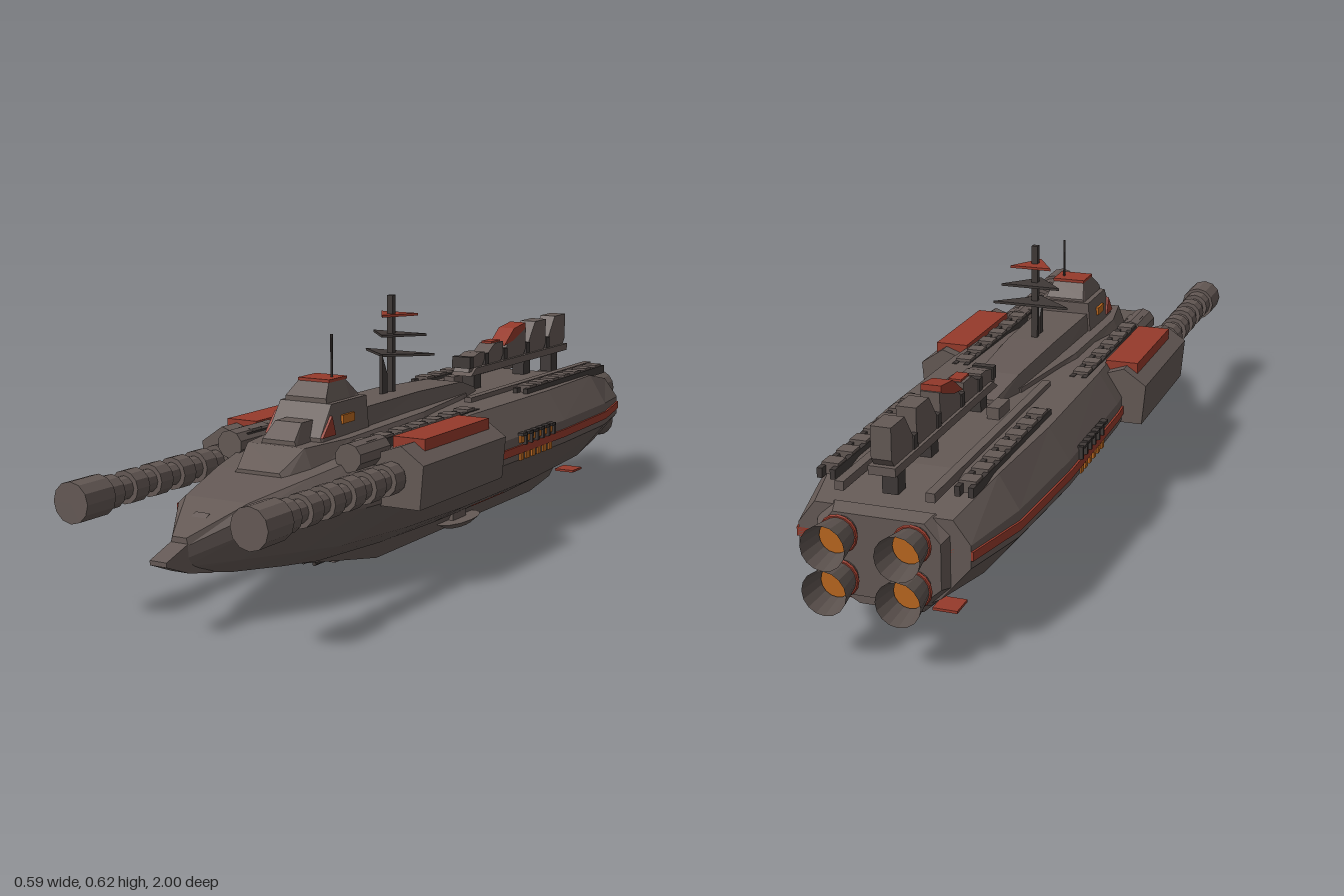
import * as THREE from 'three';

const mat = (name, color, side = THREE.FrontSide) => {
  const m = new THREE.MeshStandardMaterial({ color, side, flatShading: true });
  m.name = name;
  return m;
};

export function createModel() {
  const plate = mat('grey brown plating', 0x645955);
  const dark = mat('dark metal', 0x3f3937);
  const red = mat('red trim', 0x963a2b);
  const orange = mat('orange glow', 0xb8661f);
  const bellMat = mat('engine plating', 0x5c524e, THREE.DoubleSide);
  const ship = new THREE.Group();
  ship.name = 'spaceship';

  const add = (name, geo, m, x = 0, y = 0, z = 0) => {
    const mesh = new THREE.Mesh(geo, m);
    mesh.name = name;
    mesh.position.set(x, y, z);
    ship.add(mesh);
    return mesh;
  };
  // Box given by its centre and size
  const box = (name, m, x, y, z, w, h, d) => add(name, new THREE.BoxGeometry(w, h, d), m, x, y, z);
  // Skin over mirrored cross-sections, front to back; each is { z, half: [x, y] from bottom to top }
  const loft = (name, m, sections) => {
    const loops = sections.map(({ z, half }) => [
      ...half.map(([x, y]) => [x, y, z]),
      ...[...half].reverse().map(([x, y]) => [-x, y, z])]);
    const v = [], n = loops[0].length;
    const tri = (a, b, c) => v.push(...a, ...b, ...c);
    for (let i = 0; i < loops.length - 1; i++) {
      for (let j = 0; j < n; j++) {
        const k = (j + 1) % n, f = loops[i], b = loops[i + 1];
        tri(f[j], b[j], b[k]);
        tri(f[j], b[k], f[k]);
      }
    }
    const f = loops[0], b = loops[loops.length - 1];
    for (let j = 1; j < n - 1; j++) {
      tri(f[0], f[j], f[j + 1]);
      tri(b[0], b[j + 1], b[j]);
    }
    const g = new THREE.BufferGeometry();
    g.setAttribute('position', new THREE.Float32BufferAttribute(v, 3));
    g.computeVertexNormals();
    return add(name, g, m);
  };
  // Side profile of [z, y] points with a thickness across x
  const slab = (name, m, pts, width, x = 0) => {
    const g = new THREE.ExtrudeGeometry(new THREE.Shape(pts.map(p => new THREE.Vector2(...p))),
      { depth: width, bevelEnabled: false });
    g.translate(0, 0, -width / 2).rotateY(-Math.PI / 2);
    return add(name, g, m, x);
  };
  // Cylinder along z
  const rod = (name, m, x, y, z, r, len, sides = 12, rBack = r) =>
    add(name, new THREE.CylinderGeometry(r, rBack, len, sides).rotateX(Math.PI / 2), m, x, y, z);

  // Hull stations: z, half width, top, shoulder, waist, bottom
  const stations = [
    [0.93, 0.022, 0.205, 0.19, 0.165, 0.135], [0.8, 0.1, 0.258, 0.24, 0.205, 0.105],
    [0.63, 0.152, 0.285, 0.25, 0.205, 0.08], [0.5, 0.183, 0.302, 0.255, 0.2, 0.063],
    [0.25, 0.222, 0.33, 0.26, 0.2, 0.052], [0, 0.24, 0.335, 0.26, 0.2, 0.048],
    [-0.4, 0.244, 0.335, 0.26, 0.2, 0.048], [-0.7, 0.23, 0.335, 0.26, 0.2, 0.06],
    [-0.88, 0.19, 0.3, 0.25, 0.2, 0.085]];
  loft('hull', plate, stations.map(([z, w, t, s, m, b]) => ({
    z, half: [[w * 0.3, b], [w * 0.65, b + (m - b) * 0.32], [w, m], [w, s], [w * 0.8, t]] })));
  loft('side stripe', red, stations.slice(1).map(([z, w]) => ({
    z, half: [[w + 0.005, 0.217], [w + 0.005, 0.237]] })));
  loft('nose beak', plate, [
    { z: 1, half: [[0.021, 0.16], [0.021, 0.17]] },
    { z: 0.93, half: [[0.022, 0.132], [0.022, 0.193]] },
    { z: 0.85, half: [[0.024, 0.115], [0.018, 0.24]] }]);
  loft('stern plate', plate, [
    { z: -0.87, half: [[0.1, 0.1], [0.15, 0.15], [0.15, 0.27], [0.11, 0.305]] },
    { z: -0.905, half: [[0.09, 0.115], [0.135, 0.155], [0.135, 0.255], [0.1, 0.295]] }]);

  // Engines
  const bell = [[0.032, 0], [0.036, 0.025], [0.041, 0.055], [0.049, 0.108]].map(p => new THREE.Vector2(...p));
  for (const x of [-0.08, 0.08]) for (const y of [0.157, 0.255]) {
    add('engine bell', new THREE.LatheGeometry(bell, 16).rotateX(-Math.PI / 2), bellMat, x, y, -0.892);
    add('engine ring', new THREE.TorusGeometry(0.038, 0.005, 6, 16), red, x, y, -0.922);
    rod('engine glow', orange, x, y, -0.935, 0.035, 0.008, 16);
  }

  // Superstructure
  const tier = (name, rows) => loft(name, plate, rows.map(([z, wb, yb, wt, yt]) => ({
    z, half: [[wb, yb], [wt, yt]] })));
  tier('lower deck house', [[0.65, 0.07, 0.27, 0.055, 0.29], [0.58, 0.1, 0.27, 0.075, 0.335],
    [0.44, 0.128, 0.28, 0.1, 0.337], [0.1, 0.12, 0.3, 0.1, 0.345], [-0.2, 0.07, 0.3, 0.058, 0.345]]);
  tier('upper deck house', [[0.34, 0.07, 0.33, 0.065, 0.385], [0.05, 0.07, 0.33, 0.06, 0.385],
    [-0.19, 0.06, 0.33, 0.05, 0.375], [-0.3, 0.035, 0.33, 0.03, 0.345]]);
  tier('bridge front', [[0.57, 0.047, 0.33, 0.042, 0.345], [0.53, 0.047, 0.33, 0.035, 0.38],
    [0.46, 0.047, 0.33, 0.035, 0.38]]);
  tier('bridge block', [[0.51, 0.075, 0.33, 0.07, 0.345], [0.46, 0.075, 0.33, 0.068, 0.414],
    [0.31, 0.075, 0.33, 0.068, 0.414]]);
  tier('bridge tower', [[0.46, 0.056, 0.41, 0.054, 0.425], [0.425, 0.056, 0.41, 0.04, 0.458],
    [0.36, 0.056, 0.41, 0.04, 0.458], [0.32, 0.056, 0.41, 0.05, 0.42]]);
  box('tower roof', red, 0, 0.459, 0.39, 0.084, 0.007, 0.075);
  for (const s of [-1, 1]) {
    slab('bridge side panel', red, [[0.51, 0.345], [0.47, 0.39], [0.455, 0.345]], 0.008, s * 0.073);
    box('bridge window', orange, s * 0.073, 0.375, 0.4, 0.008, 0.02, 0.05);
  }

  // Mast and antennas
  rod('antenna', dark, 0.022, 0.5, 0.385, 0.003, 0.12, 6).rotation.x = Math.PI / 2;
  box('mast', dark, 0, 0.5, 0.08, 0.015, 0.24, 0.015);
  for (const [y, w, m] of [[0.477, 0.097, dark], [0.524, 0.075, dark], [0.572, 0.052, red]]) {
    const vane = new THREE.Shape([[-w, -0.05], [w, -0.05], [0, 0.035]].map(p => new THREE.Vector2(...p)));
    add('mast vane', new THREE.ExtrudeGeometry(vane, { depth: 0.006, bevelEnabled: false })
      .rotateX(Math.PI / 2), m, 0, y + 0.003, 0.09);
  }
  slab('deck fin', dark, [[0.105, 0.38], [0.13, 0.38], [0.13, 0.48], [0.105, 0.43]], 0.008);

  // Raised spine over the stern
  slab('spine beam', plate, [[-0.28, 0.375], [-0.88, 0.375], [-0.88, 0.394], [-0.31, 0.394]], 0.06);
  const chunks = [[-0.28, -0.37, 0.43], [-0.37, -0.48, 0.445], [-0.48, -0.62, 0.468],
    [-0.62, -0.75, 0.478], [-0.75, -0.88, 0.48]];
  for (const [a, b, top] of chunks) {
    slab('spine block', plate, [[a, 0.385], [b + 0.02, 0.385], [b, 0.41], [b, top],
      [a - 0.06, top], [a - 0.015, 0.42]], 0.045);
    box('spine rib', dark, 0, 0.41, a - 0.01, 0.052, 0.03, 0.02);
  }
  slab('spine red panel', red, [[-0.485, 0.432], [-0.545, 0.473], [-0.615, 0.482], [-0.615, 0.466], [-0.54, 0.44]], 0.047);
  box('spine red cap', red, 0, 0.447, -0.45, 0.03, 0.006, 0.05);
  for (const z of [-0.34, -0.64, -0.82]) box('spine support', dark, 0, 0.35, z, 0.035, 0.06, 0.04);
  box('deck locker', plate, -0.06, 0.345, -0.36, 0.03, 0.035, 0.07);

  for (const s of [-1, 1]) {
    // Deck rails with clamps
    for (const [z0, z1] of [[-0.82, -0.32], [-0.05, 0.5]]) {
      const mid = (z0 + z1) / 2, y = z0 < -0.1 ? 0.337 : 0.326;
      for (const x of [0.138, 0.168]) box('deck rail', dark, s * x, y, mid, 0.012, 0.022, z1 - z0);
      for (let i = 0; i < 7; i++)
        box('rail clamp', plate, s * 0.153, y + 0.004, z0 + 0.04 + i * (z1 - z0 - 0.08) / 6, 0.038, 0.026, 0.04);
    }
    box('deck edge strip', plate, s * 0.1, 0.337, -0.5, 0.02, 0.02, 0.74);
    rod('deck turret pod', plate, s * 0.157, 0.314, 0.47, 0.033, 0.13, 10);

    // Gun sponson
    const outline = [[0.15, 0.195], [0.288, 0.195], [0.297, 0.295], [0.24, 0.334], [0.17, 0.31]];
    const shape = new THREE.Shape(outline.map(([x, y]) => new THREE.Vector2(s * x, y)));
    add('gun sponson', new THREE.ExtrudeGeometry(shape, { depth: 0.4, bevelEnabled: false }), plate, 0, 0, 0.05);
    box('sponson red hatch', red, s * 0.226, 0.326, 0.235, 0.082, 0.032, 0.31);

    // Long gun
    rod('gun barrel', plate, s * 0.222, 0.264, 0.68, 0.026, 0.5);
    for (let i = 0; i < 6; i++) rod('barrel ring', plate, s * 0.222, 0.264, 0.48 + i * 0.082, 0.037, 0.042);
    rod('gun muzzle', plate, s * 0.222, 0.264, 0.955, 0.045, 0.09);

    // Broadside windows with frames
    for (let i = 0; i < 6; i++) {
      const z = -0.145 - i * 0.033;
      for (const y of [0.208, 0.252]) box('broadside window', orange, s * 0.243, y, z, 0.008, 0.018, 0.018);
      box('window frame', dark, s * 0.246, 0.252, z - 0.014, 0.014, 0.03, 0.008);
      box('window hood', dark, s * 0.247, 0.265, z, 0.016, 0.007, 0.022);
    }

    // Belly pod, strut and red fins
    const pod = add('belly pod', new THREE.CylinderGeometry(1, 0.6, 0.016, 12), plate, s * 0.062, 0.02, -0.15);
    pod.scale.set(0.04, 1, 0.1);
    box('pod strut', plate, s * 0.055, 0.043, -0.15, 0.025, 0.045, 0.07);
    box('belly fin', red, s * 0.095, 0.049, -0.76, 0.056, 0.006, 0.06);
    box('belly side fin', red, s * 0.09, 0.068, -0.235, 0.03, 0.008, 0.18);
    rod('belly gun', dark, s * 0.015, 0.04, 0.41, 0.005, 0.09, 8);
  }

  // Keel and belly turret
  loft('keel', plate, [
    { z: 0.5, half: [[0.03, 0.055], [0.04, 0.075]] }, { z: 0.22, half: [[0.04, 0.004], [0.07, 0.06]] },
    { z: -0.62, half: [[0.04, 0.004], [0.07, 0.06]] }, { z: -0.76, half: [[0.035, 0.022], [0.06, 0.07]] },
    { z: -0.8, half: [[0.03, 0.05], [0.05, 0.08]] }]);
  box('belly turret', plate, 0, 0.045, 0.36, 0.06, 0.03, 0.06);

  return ship;
}
